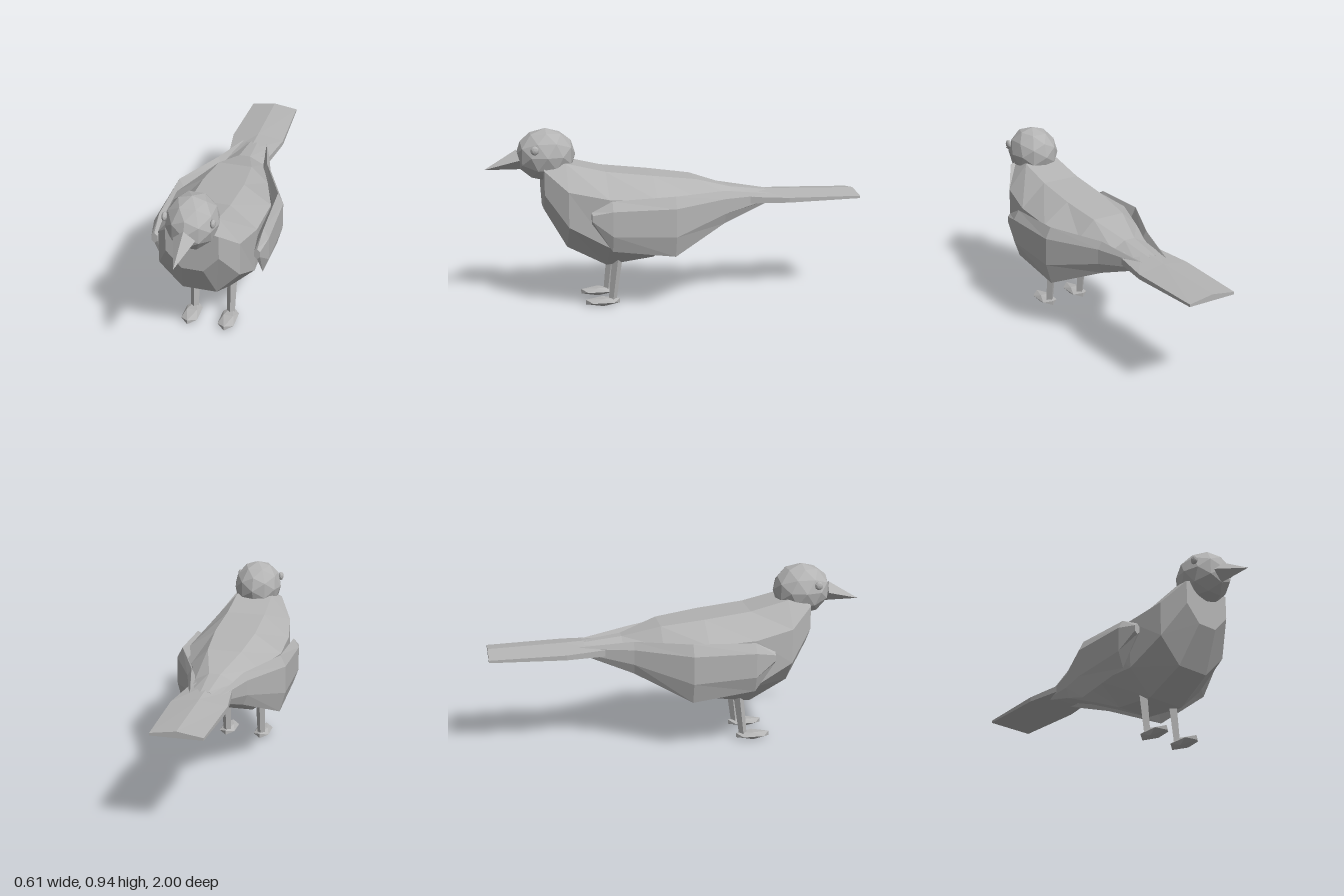
import * as THREE from 'three';

const grey = new THREE.MeshStandardMaterial({ color: 0xb4b4b4, flatShading: true });
grey.name = 'plain grey';

// Skins rings of [x, y, z] points, counter-clockwise seen from +z, ordered front to back.
function loft(rings) {
  const n = rings[0].length, pos = [];
  const tri = (...pts) => pts.forEach((p) => pos.push(...p));
  for (let s = 0; s < rings.length - 1; s++) {
    for (let i = 0; i < n; i++) {
      const j = (i + 1) % n, f = rings[s], b = rings[s + 1];
      tri(f[i], b[i], f[j]);
      tri(f[j], b[i], b[j]);
    }
  }
  const first = rings[0], last = rings[rings.length - 1];
  for (let i = 1; i < n - 1; i++) {
    tri(first[0], first[i], first[i + 1]);
    tri(last[0], last[i + 1], last[i]);
  }
  const g = new THREE.BufferGeometry();
  g.setAttribute('position', new THREE.Float32BufferAttribute(pos, 3));
  g.computeVertexNormals();
  return g;
}

function part(group, name, geometry, x = 0, y = 0, z = 0) {
  const m = new THREE.Mesh(geometry, grey);
  m.name = name;
  m.position.set(x, y, z);
  group.add(m);
  return m;
}

// Eight-sided body section: half-widths and heights at top, upper side, lower side, bottom.
function bodyRing([z, wt, yt, wu, yu, wl, yl, wb, yb]) {
  const right = [[wb, yb], [wl, yl], [wu, yu], [wt, yt]];
  const left = right.map(([x, y]) => [-x, y]).reverse();
  return [...right, ...left].map(([x, y]) => [x, y, z]);
}

// Six-sided wing section on the given side.
function wingRing([z, x, w, top, up, low, bottom], side) {
  const ring = [[x, bottom], [x + w, low], [x + w, up], [x, top], [x - w, up], [x - w, low]]
    .map(([px, py]) => [px * side, py, z]);
  return side < 0 ? ring.reverse() : ring;
}

export function createModel() {
  const bird = new THREE.Group();
  bird.name = 'bird';

  // Body, tapering towards the tail
  part(bird, 'body', loft([
    [0.70, 0.10, 0.75, 0.135, 0.74, 0.135, 0.615, 0.055, 0.525],
    [0.585, 0.10, 0.77, 0.21, 0.64, 0.21, 0.455, 0.09, 0.325],
    [0.38, 0.105, 0.72, 0.245, 0.60, 0.235, 0.345, 0.105, 0.22],
    [0.13, 0.11, 0.69, 0.255, 0.59, 0.235, 0.36, 0.10, 0.25],
    [-0.10, 0.09, 0.66, 0.18, 0.575, 0.16, 0.44, 0.07, 0.365],
    [-0.30, 0.03, 0.60, 0.105, 0.56, 0.10, 0.51, 0.05, 0.46],
    [-0.50, 0.02, 0.575, 0.09, 0.55, 0.09, 0.535, 0.04, 0.53],
  ].map(bodyRing)));

  // Flat tail with a low ridge
  const tailRing = ([z, w, top, up, low]) =>
    [[w, low], [w, up], [0, top], [-w, up], [-w, low]].map(([x, y]) => [x, y, z]);
  part(bird, 'tail', loft([
    [-0.28, 0.10, 0.60, 0.56, 0.51],
    [-0.40, 0.115, 0.582, 0.555, 0.52],
    [-0.60, 0.145, 0.572, 0.548, 0.522],
    [-1.0, 0.132, 0.56, 0.54, 0.527],
  ].map(tailRing)));

  // Head
  const head = part(bird, 'head', new THREE.IcosahedronGeometry(1, 1), 0, 0.804, 0.68);
  head.scale.set(0.133, 0.139, 0.156);

  // Beak: diamond base drawn to a point
  part(bird, 'beak', loft([
    [[0, 0.73, 0.80], [0.055, 0.785, 0.82], [0, 0.835, 0.832], [-0.055, 0.785, 0.82]],
    Array(4).fill([0, 0.732, 1.0]),
  ].reverse()));

  for (const side of [1, -1]) {
    const name = side > 0 ? 'left' : 'right';

    // Folded wing, its tip swept in over the tail
    part(bird, name + 'Wing', loft([
      [0.475, 0.27, 0.015, 0.545, 0.53, 0.50, 0.485],
      [0.37, 0.275, 0.03, 0.60, 0.55, 0.42, 0.335],
      [0.04, 0.27, 0.03, 0.61, 0.55, 0.40, 0.29],
      [-0.25, 0.138, 0.022, 0.60, 0.56, 0.48, 0.425],
      [-0.55, 0.062, 0.004, 0.56, 0.555, 0.54, 0.535],
    ].map((s) => wingRing(s, side))));

    // Eye
    const eye = part(bird, name + 'Eye', new THREE.IcosahedronGeometry(1, 1), side * 0.12, 0.846, 0.745);
    eye.scale.set(0.014, 0.024, 0.022);

    // Leg, leaning slightly forward at the foot
    const leg = part(bird, name + 'Leg',
      new THREE.CylinderGeometry(0.028, 0.021, 0.25, 4), side * 0.1, 0.145, 0.335);
    leg.rotation.x = -0.12;

    // Foot
    const foot = part(bird, name + 'Foot',
      new THREE.IcosahedronGeometry(1, 0), side * 0.1, 0.02, 0.402);
    foot.scale.set(0.051, 0.0235, 0.107);
  }
  return bird;
}
